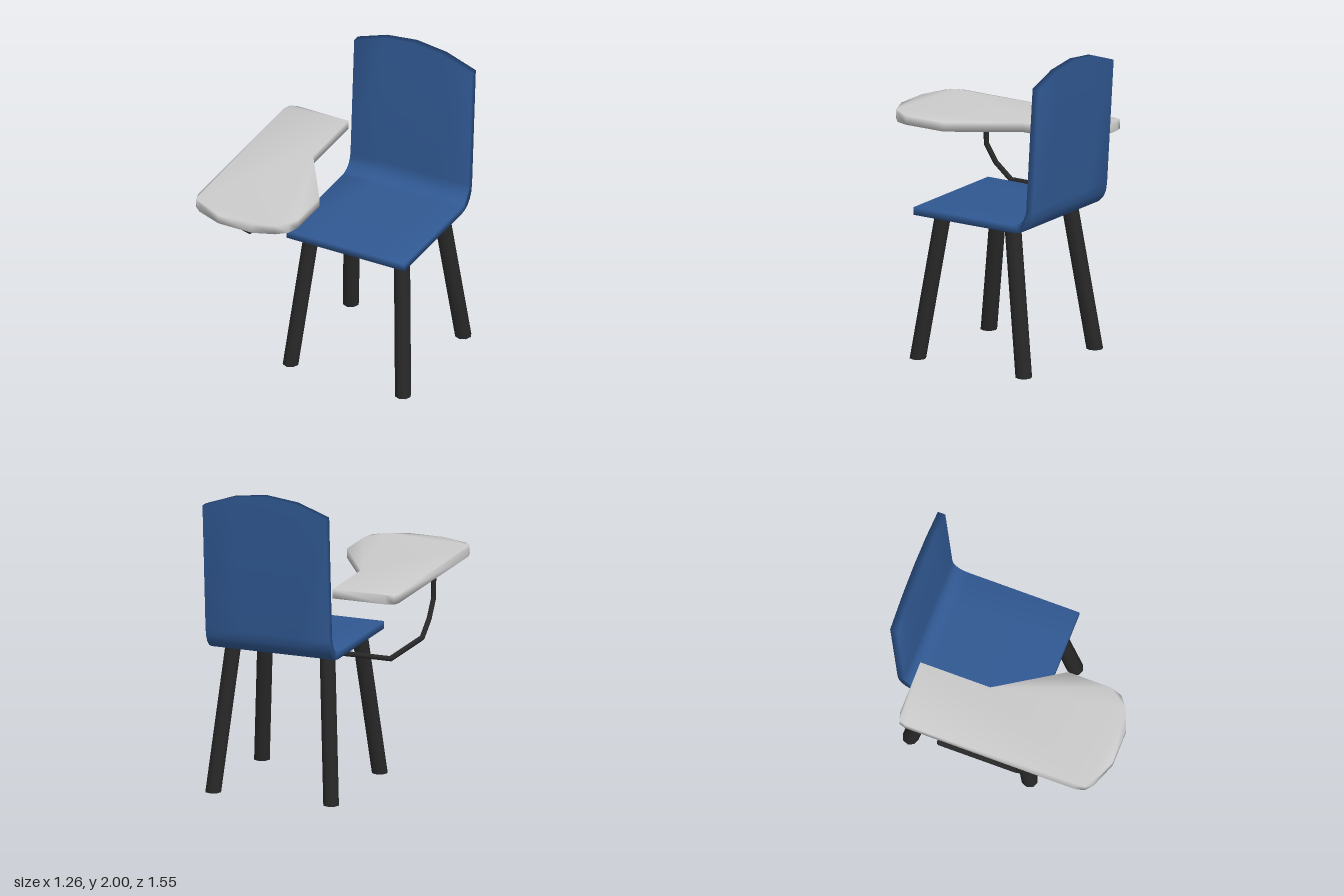
import * as THREE from 'three';
import { mergeVertices } from 'three/addons/utils/BufferGeometryUtils.js';

const material = (color) => new THREE.MeshStandardMaterial({ color });
const blue = material(0x305892);
const black = material(0x282828);
const grey = material(0xcccccc);

// Shares vertices so that normals blend softly over the edges
function soften(geometry) {
  geometry.deleteAttribute('uv');
  geometry.deleteAttribute('normal');
  const merged = mergeVertices(geometry, 1e-4);
  merged.computeVertexNormals();
  return merged;
}

function addMesh(parent, name, geometry, mat) {
  const mesh = new THREE.Mesh(geometry, mat);
  mesh.name = name;
  parent.add(mesh);
  return mesh;
}

const centreX = 0.18; // the chair sits to one side, the desk to the other

// Seat and back in one bent sheet: side profile drawn as (-z, y), swept along x
function seatShell() {
  const halfWidth = 0.42;
  const profile = new THREE.Shape();
  profile.moveTo(-0.17, 0.935);
  profile.lineTo(0.58, 0.935);
  profile.bezierCurveTo(0.67, 0.935, 0.725, 0.99, 0.73, 1.09);
  profile.lineTo(0.78, 2);
  profile.lineTo(0.73, 2);
  profile.lineTo(0.682, 1.1);
  profile.bezierCurveTo(0.677, 1.03, 0.635, 0.985, 0.57, 0.985);
  profile.lineTo(-0.17, 0.985);
  const geometry = new THREE.ExtrudeGeometry(profile, {
    depth: 2 * halfWidth, steps: 4, bevelEnabled: false, curveSegments: 5,
  });
  geometry.translate(0, 0, -halfWidth).rotateY(Math.PI / 2);
  // Arch the top edge of the back
  const pos = geometry.attributes.position;
  for (let i = 0; i < pos.count; i++) {
    if (pos.getY(i) > 1.5) {
      const u = pos.getX(i) / halfWidth;
      pos.setY(i, 2 - 0.1 * u * u);
    }
  }
  geometry.translate(centreX, 0, 0);
  return soften(geometry);
}

// Splayed leg: a cylinder sheared so both ends stay level
function legGeometry(sx, sz) {
  const height = 0.96;
  const geometry = new THREE.CylinderGeometry(0.053, 0.053, height, 8);
  geometry.translate(0, height / 2, 0);
  geometry.applyMatrix4(new THREE.Matrix4().makeShear(0, 0, -sx * 0.086, -sz * 0.145, 0, 0));
  geometry.translate(centreX + sx * 0.4, 0, -0.25 + sz * 0.4);
  return geometry;
}

// Writing surface: outline in (x, z)
function deskGeometry() {
  const outline = [
    [-0.205, -0.59], [-0.205, -0.12], [0.065, 0.3], [0.065, 0.585], [0.04, 0.665],
    [-0.025, 0.72], [-0.165, 0.775], [-0.4, 0.775], [-0.57, 0.71], [-0.615, 0.67],
    [-0.63, 0.615], [-0.63, -0.53], [-0.615, -0.575], [-0.565, -0.59],
  ].map(([x, z]) => new THREE.Vector2(x, z));
  const geometry = new THREE.ExtrudeGeometry(new THREE.Shape(outline), {
    depth: 0.06, bevelEnabled: false,
  });
  geometry.rotateX(Math.PI / 2).translate(0, 1.39, 0);
  return soften(geometry);
}

// Bent rod: straight lengths with round joints
function bentRod(points, radius) {
  const group = new THREE.Group();
  const up = new THREE.Vector3(0, 1, 0);
  points.forEach((p, i) => {
    if (i === 0) return;
    const from = points[i - 1];
    const along = p.clone().sub(from);
    const rod = addMesh(group, 'armRod',
      new THREE.CylinderGeometry(radius, radius, along.length(), 8), black);
    rod.position.copy(from).addScaledVector(along, 0.5);
    rod.quaternion.setFromUnitVectors(up, along.normalize());
    if (i < points.length - 1) {
      addMesh(group, 'armJoint', new THREE.SphereGeometry(radius, 8, 6), black).position.copy(p);
    }
  });
  return group;
}

export function createModel() {
  const model = new THREE.Group();
  model.name = 'tabletArmChair';

  addMesh(model, 'seatAndBack', seatShell(), blue);

  for (const [sz, end] of [[1, 'front'], [-1, 'back']]) {
    for (const [sx, side] of [[1, 'Left'], [-1, 'Right']]) {
      addMesh(model, `${end}${side}Leg`, legGeometry(sx, sz), black);
    }
  }

  addMesh(model, 'desk', deskGeometry(), grey);

  // Support arm from under the desk, back along the side and in under the seat
  const arm = bentRod([
    [-0.5, 1.345, 0.365], [-0.5, 1.11, 0.355], [-0.5, 1, 0.285],
    [-0.5, 0.905, 0.17], [-0.5, 0.905, -0.35], [0.065, 0.905, -0.35],
  ].map((p) => new THREE.Vector3(...p)), 0.017);
  arm.name = 'deskArm';
  model.add(arm);

  return model;
}
